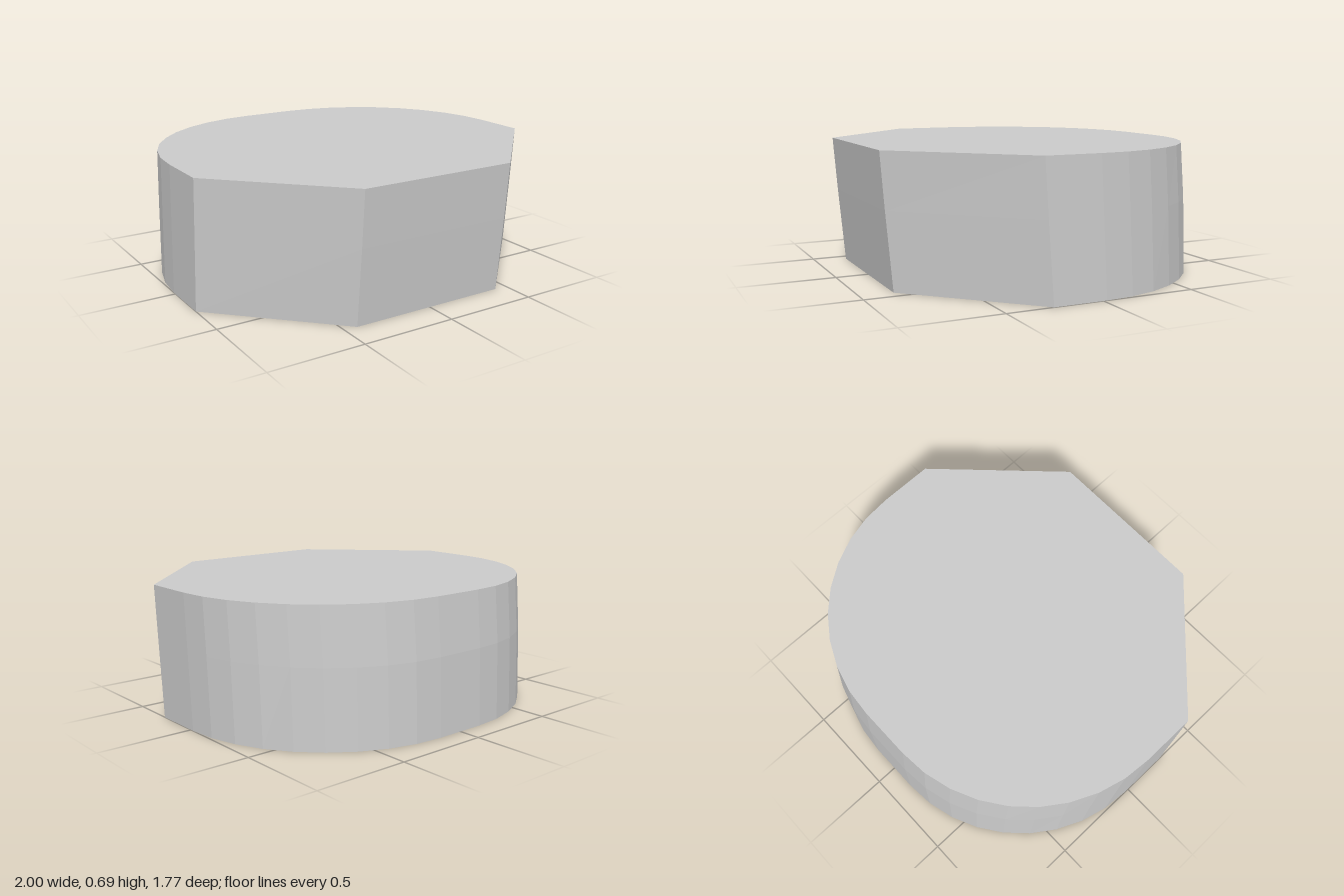
import * as THREE from 'three';

// Half-width and position of each level: front edge, side corner, arc centre, back edge
const levels = [
  { y: 0, front: 0.83, corner: 0.26, mid: -0.02, back: -0.885 },
  { y: 0.4, front: 0.865, corner: 0.29, mid: 0.003, back: -0.872 },
  { y: 0.69, front: 0.887, corner: 0.31, mid: 0.02, back: -0.845 },
];

// Outline of one level: chamfered front, rounded back, mirrored across x = 0
function outline({ y, front, corner, mid, back }) {
  const half = [[0.43, front], [1, corner]];
  for (let i = 0; i <= 9; i++) {
    const a = (i * Math.PI) / 18;
    half.push([0.14 + 0.86 * Math.cos(a), mid + (back - mid) * Math.sin(a)]);
  }
  const mirrored = half.map(([x, z]) => [-x, z]).reverse();
  return [...half, ...mirrored].map(([x, z]) => [x, y, z]);
}

function loftGeometry(rings) {
  const n = rings[0].length;
  const positions = [];
  const tri = (a, b, c) => positions.push(...a, ...b, ...c);
  // Side walls
  for (let r = 0; r < rings.length - 1; r++) {
    const lo = rings[r], hi = rings[r + 1];
    for (let i = 0; i < n; i++) {
      const j = (i + 1) % n;
      tri(lo[i], lo[j], hi[j]);
      tri(lo[i], hi[j], hi[i]);
    }
  }
  // Flat top and bottom
  const bottom = rings[0], top = rings[rings.length - 1];
  for (let i = 1; i < n - 1; i++) {
    tri(top[0], top[i], top[i + 1]);
    tri(bottom[0], bottom[i + 1], bottom[i]);
  }
  const geometry = new THREE.BufferGeometry();
  geometry.setAttribute('position', new THREE.Float32BufferAttribute(positions, 3));
  geometry.computeVertexNormals();
  return geometry;
}

export function createModel() {
  const group = new THREE.Group();
  group.name = 'roundedBlock';
  const material = new THREE.MeshStandardMaterial({ color: 0xcccccc, flatShading: true });
  const body = new THREE.Mesh(loftGeometry(levels.map(outline)), material);
  body.name = 'body';
  group.add(body);
  return group;
}
